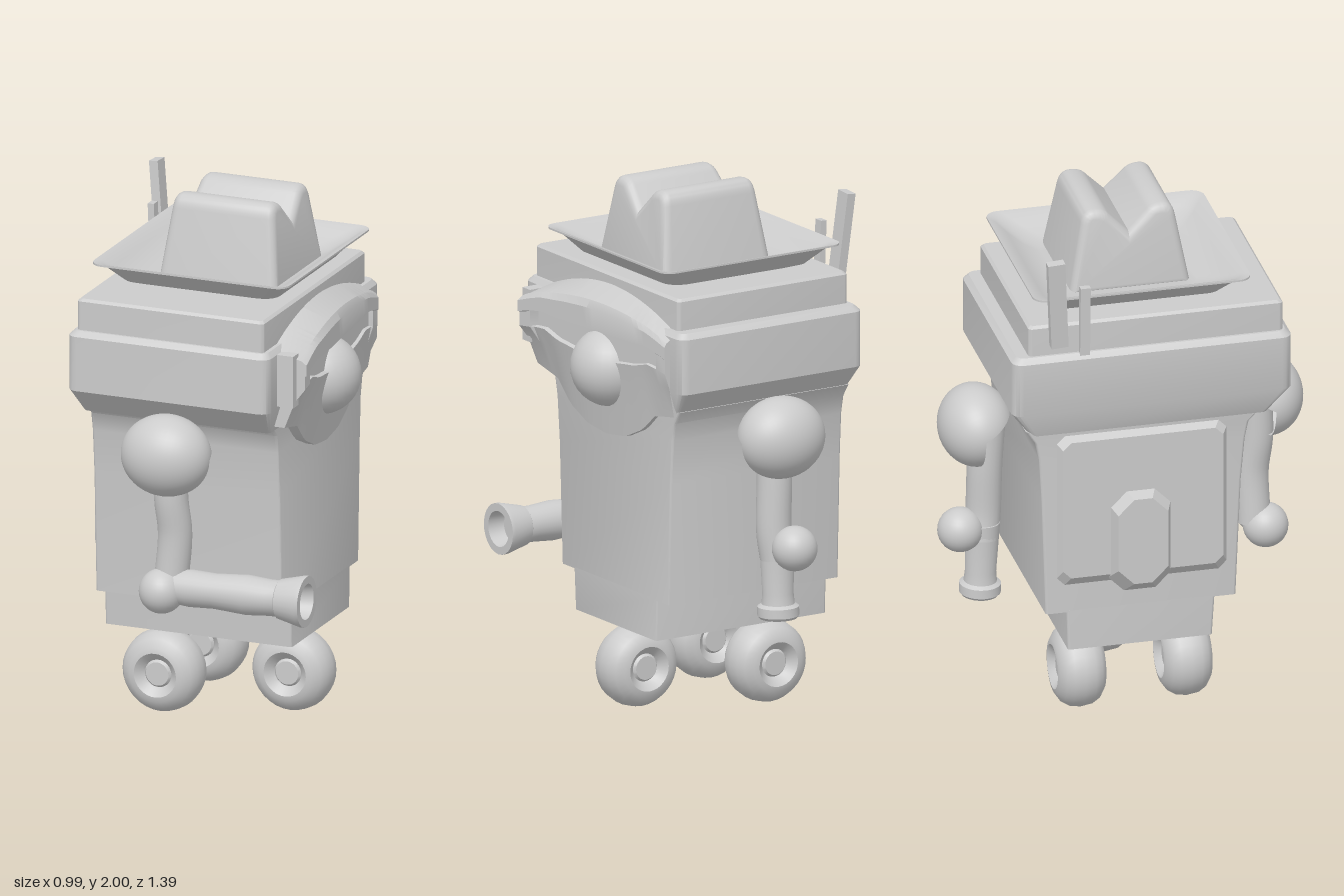
import * as THREE from 'three';
import { toCreasedNormals } from 'three/addons/utils/BufferGeometryUtils.js';

const mat = new THREE.MeshStandardMaterial({ color: 0xcccccc });
const thin = new THREE.MeshStandardMaterial({ color: 0xcccccc, side: THREE.DoubleSide });

// Indexed geometry from flat arrays, with sharp edges kept
function build(pos, idx, crease = 0.6) {
  const g = new THREE.BufferGeometry();
  g.setAttribute('position', new THREE.Float32BufferAttribute(pos, 3));
  g.setIndex(idx);
  return toCreasedNormals(g, crease);
}

// Stack of rounded rectangles: each level is [y, x0, x1, z0, z1, cornerRadius]
function loft(levels, seg = 4, crease = 0.6) {
  const pos = [], idx = [], n = 4 * (seg + 1);
  for (const [y, x0, x1, z0, z1, r] of levels) {
    for (let c = 0; c < 4; c++) {
      const cx = c === 0 || c === 3 ? x1 - r : x0 + r;
      const cz = c < 2 ? z1 - r : z0 + r;
      for (let s = 0; s <= seg; s++) {
        const a = (c + s / seg) * Math.PI / 2;
        pos.push(cx + r * Math.cos(a), y, cz + r * Math.sin(a));
      }
    }
  }
  for (let j = 0; j < levels.length - 1; j++) {
    for (let i = 0; i < n; i++) {
      const a = j * n + i, b = j * n + (i + 1) % n;
      idx.push(a, a + n, b, b, a + n, b + n);
    }
  }
  const last = (levels.length - 1) * n;
  for (let i = 1; i < n - 1; i++) {
    idx.push(0, i, i + 1);
    idx.push(last, last + i + 1, last + i);
  }
  return build(pos, idx, crease);
}

// Hollow-ended limb: lathe along a line, profile given as [radius, distance]
function limb(profile, from, to) {
  const g = new THREE.LatheGeometry(profile.map(p => new THREE.Vector2(p[0], p[1])), 24);
  const a = new THREE.Vector3(...from), dir = new THREE.Vector3(...to).sub(a).normalize();
  g.applyQuaternion(new THREE.Quaternion().setFromUnitVectors(new THREE.Vector3(0, 1, 0), dir));
  g.translate(a.x, a.y, a.z);
  return toCreasedNormals(g, 0.6);
}

function tube(points, r) {
  const curve = new THREE.CatmullRomCurve3(points.map(p => new THREE.Vector3(...p)));
  return new THREE.TubeGeometry(curve, 20, r, 20);
}

// Face plate: columns across z, a depth profile running from brow to chin
function visorGeometry() {
  const rows = [[0, 0.28], [0, 0.32], [0.09, 0.40], [0.14, 0.415], [0.28, 0.415], [0.29, 0.385],
    [0.46, 0.385], [0.47, 0.40], [0.65, 0.38], [1, 0.35], [1, 0.28]];
  const bottom = [[-0.43, 1.22], [-0.31, 1.2], [-0.23, 1.13], [-0.12, 1.08], [0, 1.065],
    [0.12, 1.08], [0.23, 1.13], [0.31, 1.21], [0.44, 1.24]];
  const low = z => {
    const k = Math.max(1, bottom.findIndex(p => p[0] >= z - 1e-6));
    const [a, b] = [bottom[k - 1], bottom[k]];
    return THREE.MathUtils.mapLinear(z, a[0], b[0], a[1], b[1]);
  };
  const cols = [-0.43, -0.43, -0.38, -0.375];
  for (let i = 0; i <= 24; i++) cols.push(-0.37 + i * 0.74 / 24);
  cols.push(0.375, 0.38, 0.44, 0.44);
  const pos = [], idx = [], m = rows.length;
  cols.forEach((z, i) => {
    const top = 1.63 - 0.5 * z * z, bot = low(z);
    rows.forEach(([t, x0], j) => {
      let x = Math.abs(z) > 0.374 && j > 4 && j < 8 ? 0.41 : x0;
      x = i === 0 || i === cols.length - 1 ? 0.28 : 0.3 + (x - 0.3) * (1 + 0.8 * z);
      pos.push(x, top + t * (bot - top), z);
      if (i && j) {
        const a = (i - 1) * m + j - 1, b = a + m;
        idx.push(a, b, a + 1, b, b + 1, a + 1);
      }
    });
  });
  return build(pos, idx, 0.5);
}

// Twin-peaked hat crown, tapering upwards
function crownGeometry() {
  const s = new THREE.Shape();
  s.moveTo(-0.23, 1.68);
  s.lineTo(-0.18, 1.95);
  s.quadraticCurveTo(-0.17, 2.0, -0.13, 2.0);
  s.quadraticCurveTo(-0.09, 2.0, -0.07, 1.975);
  s.lineTo(0, 1.905);
  s.lineTo(0.07, 1.975);
  s.quadraticCurveTo(0.09, 2.0, 0.13, 2.0);
  s.quadraticCurveTo(0.17, 2.0, 0.18, 1.95);
  s.lineTo(0.23, 1.68);
  const g = new THREE.ExtrudeGeometry(s, { depth: 0.34, bevelEnabled: true, bevelThickness: 0.03,
    bevelSize: 0.03, bevelOffset: -0.03, bevelSegments: 4, curveSegments: 8 });
  g.translate(0, 0, -0.17);
  g.rotateY(Math.PI / 2);
  const p = g.attributes.position;
  for (let i = 0; i < p.count; i++) p.setX(i, p.getX(i) * (1 + (2 - p.getY(i)) * 0.62) + 0.005);
  return toCreasedNormals(g, 0.7);
}

export function createModel() {
  const model = new THREE.Group();
  const add = (name, geo, x = 0, y = 0, z = 0, material = mat) => {
    const m = new THREE.Mesh(geo, material);
    m.name = name;
    m.position.set(x, y, z);
    model.add(m);
    return m;
  };
  const ball = (r, seg = 32) => new THREE.SphereGeometry(r, seg, seg / 2);

  // Bin body, head and lid
  add('base', loft([[0.33, -0.43, 0.32, -0.29, 0.26, 0.01], [0.49, -0.43, 0.32, -0.295, 0.27, 0.01]]));
  add('body', loft([[0.485, -0.43, 0.32, -0.375, 0.35, 0.01], [0.95, -0.43, 0.32, -0.39, 0.37, 0.01],
    [1.12, -0.43, 0.32, -0.4, 0.385, 0.01], [1.19, -0.43, 0.32, -0.415, 0.4, 0.01],
    [1.24, -0.43, 0.32, -0.45, 0.45, 0.01]]));
  add('head', loft([[1.22, -0.43, 0.32, -0.43, 0.47, 0.02], [1.32, -0.46, 0.35, -0.505, 0.56, 0.04],
    [1.53, -0.46, 0.35, -0.505, 0.56, 0.04], [1.55, -0.44, 0.335, -0.485, 0.54, 0.03]]));
  add('lid', loft([[1.54, -0.43, 0.32, -0.44, 0.53, 0.015], [1.66, -0.43, 0.32, -0.44, 0.53, 0.015],
    [1.67, -0.42, 0.31, -0.43, 0.52, 0.015]]));

  // Face
  add('visor', visorGeometry(), 0, 0, 0, thin);
  add('visorTab', new THREE.BoxGeometry(0.09, 0.2, 0.05), 0.37, 1.43, 0.445);
  add('eye', ball(0.15), 0.33, 1.32, 0.005);

  // Hat: square dished brim and creased crown
  const brim = [[1.675, 0.27, 0.06], [1.69, 0.31, 0.06], [1.755, 0.365, 0.05], [1.765, 0.395, 0.05],
    [1.772, 0.395, 0.05], [1.765, 0.37, 0.05], [1.74, 0.34, 0.06], [1.71, 0.29, 0.07], [1.695, 0.24, 0.06]];
  add('hatBrim', loft(brim.map(([y, h, r]) =>
    [y, -0.035 - h, -0.035 + h, -h * 1.05, h * 1.05, r]), 6, 0.7));
  add('hatCrown', crownGeometry());

  // Back door with tapered pocket, lofted upright and turned to face backwards
  const backPlate = (name, w, h, cz, cy, x0, x1, bevel, r) => {
    const g = loft([[0, -h / 2, h / 2, -w / 2, w / 2, r],
      [x1 - x0, -h / 2 + bevel, h / 2 - bevel / 2, -w / 2 + bevel / 2, w / 2 - bevel / 2, r]], 1, 0.3);
    g.rotateZ(Math.PI / 2);
    return add(name, g, -x0, cy, cz);
  };
  backPlate('backDoor', 0.66, 0.63, -0.01, 0.9, 0.42, 0.457, 0.05, 0.03);
  backPlate('backPocket', 0.24, 0.42, -0.02, 0.765, 0.44, 0.5, 0.05, 0.06);

  // Two antenna slats at the rear corner
  const tall = add('tallAntenna', new THREE.BoxGeometry(0.035, 0.36, 0.065), -0.465, 1.77, -0.34);
  tall.rotation.set(-0.06, 0, 0.1);
  const short = add('shortAntenna', new THREE.BoxGeometry(0.025, 0.28, 0.038), -0.442, 1.68, -0.23);
  short.rotation.z = 0.04;

  // Shoulders: spheres with the lower inner wedge cut away
  for (const side of [1, -1]) {
    const g = new THREE.SphereGeometry(0.155, 32, 24, Math.PI, Math.PI * 244 / 180);
    g.rotateZ(-Math.PI / 2);
    g.computeBoundingBox();
    // Bring the open wedge to the lower inner side
    const middle = Math.PI + Math.PI * 122 / 180;
    const sy = Math.cos(middle), sz = Math.sin(middle);
    const want = THREE.MathUtils.degToRad(58);
    g.rotateX(Math.atan2(Math.cos(want), side * Math.sin(want)) * -1 + Math.atan2(sy, sz));
    g.scale(1.12, 1, 0.9);
    add(side > 0 ? 'leftShoulder' : 'rightShoulder', g, -0.06, 1.115, 0.553 * side, thin);
  }

  // Left arm, bent forward with a flared cuff
  add('leftUpperArm', tube([[-0.055, 1.17, 0.51], [-0.055, 0.95, 0.52], [-0.045, 0.8, 0.505],
    [-0.06, 0.6, 0.51]], 0.064));
  add('leftElbow', ball(0.085), -0.08, 0.585, 0.55);
  add('leftForearm', limb([[0, 0], [0.06, 0], [0.07, 0.1], [0.066, 0.2], [0.075, 0.33], [0.068, 0.42],
    [0.068, 0.455], [0.075, 0.46], [0.097, 0.55], [0.097, 0.565], [0.068, 0.565], [0.06, 0.5], [0, 0.5]],
  [-0.075, 0.6, 0.525], [0.49, 0.603, 0.518]));

  // Right arm, hanging straight
  add('rightUpperArm', tube([[-0.055, 1.17, -0.5], [-0.055, 0.95, -0.515], [-0.05, 0.75, -0.52],
    [-0.06, 0.65, -0.53]], 0.066));
  add('rightElbow', ball(0.085), -0.08, 0.7, -0.615);
  add('rightForearm', limb([[0, 0], [0.066, 0], [0.058, 0.2], [0.062, 0.24], [0.078, 0.25],
    [0.078, 0.285], [0.07, 0.295], [0.055, 0.295], [0.05, 0.27], [0, 0.27]],
  [-0.06, 0.715, -0.525], [-0.06, 0.42, -0.535]));

  // Three rounded wheels with dimpled hubs
  const half = [[0, 0.07], [0.045, 0.07], [0.053, 0.06], [0.06, 0.07], [0.085, 0.092], [0.105, 0.088],
    [0.135, 0.068], [0.152, 0.04], [0.158, 0]];
  const tyre = half.concat(half.slice(0, -1).reverse().map(([r, h]) => [r, -h])).reverse();
  const wheel = new THREE.LatheGeometry(tyre.map(p => new THREE.Vector2(p[0], p[1])), 32);
  wheel.rotateX(Math.PI / 2);
  const wheelGeo = toCreasedNormals(wheel, 0.7);
  [['frontWheel', 0.22, 0], ['rearLeftWheel', -0.217, 0.2], ['rearRightWheel', -0.217, -0.205]]
    .forEach(([name, x, z]) => add(name, wheelGeo, x, 0.163, z));

  return model;
}
